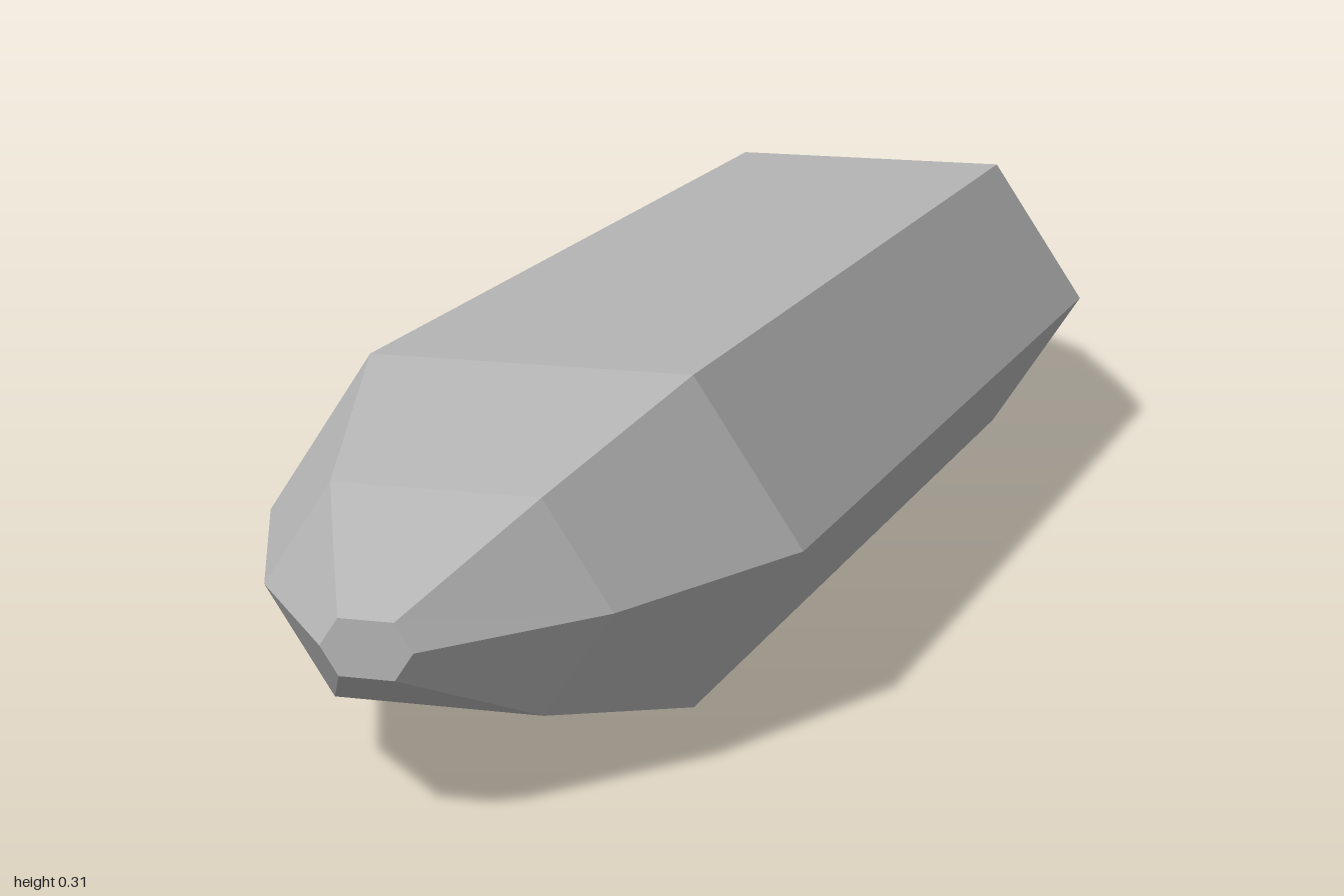
import * as THREE from 'three';

// Hexagonal outline, counter-clockwise seen from the front, around the long axis
const HEX = [[0.258, 0], [0.155, 0.155], [-0.155, 0.155], [-0.258, 0], [-0.155, -0.155], [0.155, -0.155]];
const CENTER_Y = 0.155;

// Lofts scaled hexagons through stations [z, scale], from back to front
function loft(stations, capBack, capFront) {
  const rings = stations.map(([z, s]) => HEX.map(([x, y]) => [x * s, CENTER_Y + y * s, z]));
  const pos = [];
  const tri = (a, b, c) => pos.push(...a, ...b, ...c);
  for (let i = 0; i < rings.length - 1; i++) {
    for (let k = 0; k < 6; k++) {
      const n = (k + 1) % 6;
      const a = rings[i][k], b = rings[i][n], c = rings[i + 1][n], d = rings[i + 1][k];
      tri(a, b, c);
      tri(a, c, d);
    }
  }
  const first = rings[0], last = rings[rings.length - 1];
  for (let k = 1; k < 5; k++) {
    if (capBack) tri(first[0], first[k + 1], first[k]);
    if (capFront) tri(last[0], last[k], last[k + 1]);
  }
  const geometry = new THREE.BufferGeometry();
  geometry.setAttribute('position', new THREE.Float32BufferAttribute(pos, 3));
  geometry.computeVertexNormals();
  return geometry;
}

export function createModel() {
  const group = new THREE.Group();
  group.name = 'hexagonalHull';
  const grey = new THREE.MeshStandardMaterial({ color: 0xb4b4b4, flatShading: true });
  grey.name = 'grey';

  const add = (name, geometry) => {
    const mesh = new THREE.Mesh(geometry, grey);
    mesh.name = name;
    group.add(mesh);
  };

  // Tapered ends on a straight middle; the back is slightly slimmer
  add('backTaper', loft([[-1, 0.13], [-0.84, 0.565], [-0.6, 1]], true, false));
  add('body', loft([[-0.6, 1], [0.6, 1]], false, false));
  add('frontTaper', loft([[0.6, 1], [0.84, 0.62], [1, 0.16]], false, true));
  return group;
}
